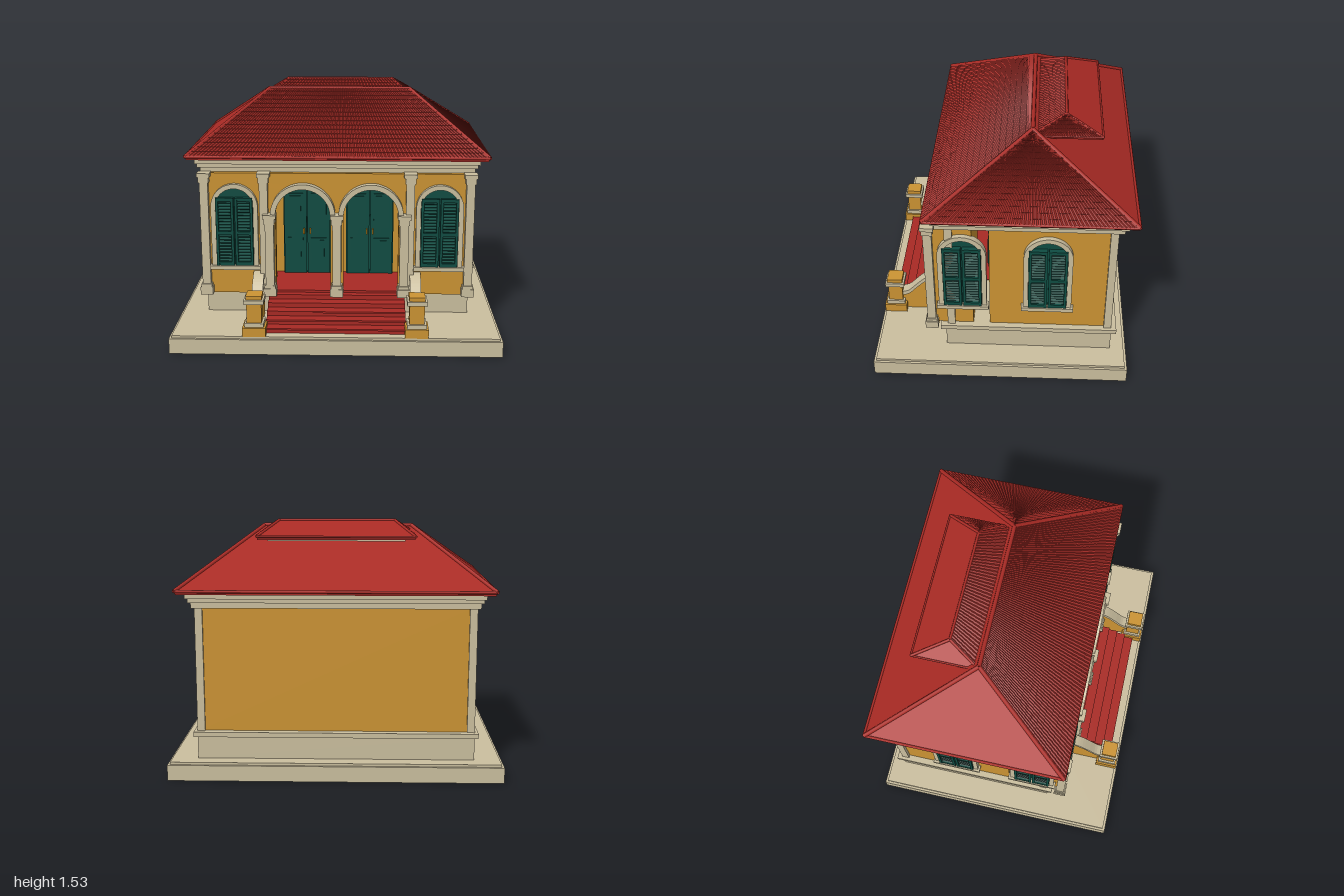
import * as THREE from 'three';
import { ConvexGeometry } from 'three/addons/geometries/ConvexGeometry.js';

const mat = (name, color) => {
  const m = new THREE.MeshStandardMaterial({ color });
  m.name = name;
  return m;
};

export function createModel() {
  const stone = mat('stone', 0xcbbf9f), ochre = mat('ochre', 0xcc9433), red = mat('red tile', 0xa92a24);
  const green = mat('green paint', 0x0f4c42), brass = mat('brass', 0xc48a1c);
  const tileMat = mat('ribbed tile', 0xa12a24);
  tileMat.flatShading = true;
  const root = new THREE.Group();
  root.name = 'villa';

  const add = (parent, name, geo, m) => {
    const mesh = new THREE.Mesh(geo, m);
    mesh.name = name;
    parent.add(mesh);
    return mesh;
  };
  // box from its limits on each axis
  const box = (parent, name, m, x0, x1, y0, y1, z0, z1) => {
    const mesh = add(parent, name, new THREE.BoxGeometry(x1 - x0, y1 - y0, z1 - z0), m);
    mesh.position.set((x0 + x1) / 2, (y0 + y1) / 2, (z0 + z1) / 2);
    return mesh;
  };
  const group = (name) => {
    const g = new THREE.Group();
    g.name = name;
    root.add(g);
    return g;
  };
  // round-headed outline, optionally used as a hole
  const arch = (r, y0, ys, cx = 0, Type = THREE.Shape) => {
    const s = new Type();
    s.moveTo(cx - r, y0);
    s.lineTo(cx + r, y0);
    s.lineTo(cx + r, ys);
    s.absarc(cx, ys, r, 0, Math.PI, false);
    s.lineTo(cx - r, y0);
    return s;
  };
  const extrude = (parent, name, m, shape, z0, z1) => {
    const geo = new THREE.ExtrudeGeometry(shape, { depth: z1 - z0, bevelEnabled: false, curveSegments: 20 });
    const mesh = add(parent, name, geo, m);
    mesh.position.z = z0;
    return mesh;
  };

  // ground slab, foundation and plinth moulding
  box(root, 'groundSlab', stone, -1, 1, 0, 0.095, -0.78, 0.78);
  box(root, 'groundSlabTop', stone, -0.985, 0.985, 0.095, 0.11, -0.765, 0.765);
  box(root, 'foundation', stone, -0.83, 0.83, 0.11, 0.25, -0.68, 0.34);
  box(root, 'plinthMoulding', stone, -0.85, 0.85, 0.25, 0.28, -0.71, 0.37);

  // rear rooms, porch wings and arcaded front wall
  box(root, 'mainBlock', ochre, -0.81, 0.81, 0.28, 1.035, -0.665, 0.07);
  const front = new THREE.Shape();
  front.moveTo(-0.81, 0.26);
  front.lineTo(0.81, 0.26);
  front.lineTo(0.81, 1.035);
  front.lineTo(-0.81, 1.035);
  front.closePath();
  for (const x of [-0.21, 0.21]) front.holes.push(arch(0.17, 0.275, 0.775, x, THREE.Path));
  extrude(root, 'frontWall', ochre, front, 0.385, 0.415);
  for (const s of [-1, 1]) {
    const [a, b] = s < 0 ? [-0.81, -0.4] : [0.4, 0.81];
    box(root, 'porchWing', ochre, a, b, 0.28, 1.035, 0.17, 0.386);
    for (const z of [-0.655, 0.305])
      box(root, 'cornerPilaster', stone, s * 0.807 - 0.023, s * 0.807 + 0.023, 0.28, 1.035, z - 0.023, z + 0.023);
  }
  box(root, 'porchFloor', red, -0.42, 0.42, 0.25, 0.284, 0.06, 0.43);

  // stepped cornice
  [[0.845, 0.545, 1.03, 1.065], [0.86, 0.567, 1.065, 1.09], [0.872, 0.585, 1.09, 1.12]].forEach(([hx, hz, y0, y1]) =>
    box(root, 'cornice', stone, -hx, hx, y0, y1, -0.165 - hz, -0.165 + hz));

  // columns with base and stepped capital
  const column = (name, x, z, h, top) => {
    const g = group(name);
    const part = (n, w, y0, y1) => box(g, n, stone, x - w, x + w, y0, y1, z - w, z + w);
    part('base', h + 0.013, 0.26, 0.31);
    part('baseStep', h + 0.007, 0.31, 0.33);
    part('shaft', h, 0.33, top - 0.06);
    part('neck', h + 0.006, top - 0.06, top - 0.025);
    part('capital', h + 0.014, top - 0.025, top);
  };
  for (const x of [-0.815, -0.45, 0.45, 0.815]) column('tallColumn', x, 0.425, 0.026, 1.04);
  for (const x of [-0.415, 0, 0.415]) column('archColumn', x, 0.447, 0.027, 0.785);
  for (const x of [-0.21, 0.21]) {
    const ring = new THREE.Shape();
    ring.absarc(x, 0.775, 0.2, 0, Math.PI, false);
    ring.absarc(x, 0.775, 0.168, Math.PI, 0, true);
    ring.closePath();
    extrude(root, 'porchArch', stone, ring, 0.41, 0.465);
  }

  // shuttered window, built facing +z with the wall at z = 0
  const shutterWindow = (x, z, turn) => {
    const g = group('shutteredWindow');
    const frame = arch(0.145, 0.45, 0.825);
    frame.holes.push(arch(0.116, 0.45, 0.825, 0, THREE.Path));
    extrude(g, 'windowFrame', stone, frame, -0.01, 0.03);
    extrude(g, 'windowPane', green, arch(0.118, 0.45, 0.825), -0.005, 0.008);
    box(g, 'windowSill', stone, -0.157, 0.157, 0.425, 0.45, -0.01, 0.045);
    for (const s of [-1, 1]) {
      const cx = s * 0.059;
      for (const e of [-1, 1])
        box(g, 'shutterStile', green, cx + e * 0.047 - 0.008, cx + e * 0.047 + 0.008, 0.452, 0.885, 0.008, 0.04);
      for (const y of [0.463, 0.66, 0.874])
        box(g, 'shutterRail', green, cx - 0.04, cx + 0.04, y - 0.011, y + 0.011, 0.008, 0.038);
      for (let i = 0; i < 20; i++) {
        const y = 0.482 + i * 0.0197;
        const slat = box(g, 'shutterSlat', green, cx - 0.04, cx + 0.04, y - 0.003, y + 0.003, 0.008, 0.03);
        slat.rotation.x = 0.5;
      }
    }
    g.position.set(x, 0, z);
    g.rotation.y = turn;
  };
  for (const s of [-1, 1]) {
    shutterWindow(s * 0.632, 0.415, 0);
    for (const z of [0.23, -0.28]) shutterWindow(s * 0.81, z, s * Math.PI / 2);
  }

  // double doors at the back of the porch
  for (const x of [-0.205, 0.205]) {
    const g = group('doubleDoor');
    extrude(g, 'doorSurround', green, arch(0.155, 0.284, 0.775), 0, 0.015);
    for (const s of [-1, 1]) {
      const cx = s * 0.076;
      box(g, 'doorLeaf', green, cx - 0.073, cx + 0.073, 0.286, 0.87, 0.015, 0.03);
      for (const [y0, y1] of [[0.32, 0.53], [0.6, 0.83]]) {
        box(g, 'doorPanel', green, cx - 0.05, cx + 0.05, y0, y1, 0.03, 0.038);
        box(g, 'doorPanelField', green, cx - 0.036, cx + 0.036, y0 + 0.015, y1 - 0.015, 0.038, 0.043);
      }
      box(g, 'doorHandle', brass, s * 0.02 - 0.005, s * 0.02 + 0.005, 0.56, 0.595, 0.03, 0.05);
    }
    box(g, 'doorHead', green, -0.155, 0.155, 0.865, 0.882, 0.01, 0.04);
    g.position.set(x, 0, 0.07);
  }

  // front steps
  for (let i = 0; i < 5; i++) {
    const y = 0.11 + 0.032 * (i + 1), z = 0.715 - 0.06 * i;
    box(root, 'step', red, -0.425, 0.425, 0.11, y - 0.01, 0.3, z - 0.008);
    box(root, 'stepNosing', red, -0.425, 0.425, y - 0.01, y, 0.3, z);
  }

  // curved stair walls with coping, ending in pedestals
  const slope = new THREE.CatmullRomCurve3([[0.66, 0.225], [0.615, 0.24], [0.56, 0.295], [0.5, 0.35], [0.45, 0.375], [0.38, 0.385]]
    .map(([z, y]) => new THREE.Vector3(z, y, 0))).getPoints(16);
  const sideWall = new THREE.Shape([new THREE.Vector2(0.38, 0.11), new THREE.Vector2(0.66, 0.11),
    ...slope.map((p) => new THREE.Vector2(p.x, p.y))]);
  const coping = new THREE.Shape([...slope.map((p) => new THREE.Vector2(p.x, p.y - 0.005)),
    ...slope.slice().reverse().map((p) => new THREE.Vector2(p.x, p.y + 0.024))]);
  for (const s of [-1, 1]) {
    const cx = s * 0.487;
    for (const [name, m, shape, w] of [['stairWall', ochre, sideWall, 0.026], ['stairCoping', stone, coping, 0.034]]) {
      const mesh = extrude(root, name, m, shape, 0, 2 * w);
      mesh.rotation.y = -Math.PI / 2;
      mesh.position.set(cx + w, 0, 0);
    }
    const g = group('pedestal');
    [['pedestalBase', ochre, 0.07, 0.11, 0.165], ['pedestalFoot', stone, 0.058, 0.165, 0.19],
      ['pedestalShaft', ochre, 0.045, 0.19, 0.31], ['pedestalCap', stone, 0.06, 0.31, 0.336],
      ['pedestalTop', ochre, 0.048, 0.336, 0.36]].forEach(([n, m, w, y0, y1]) =>
      box(g, n, m, cx - w, cx + w, y0, y1, 0.7 - w, 0.7 + w));
  }

  // ribbed, stepped roof slope between an eave edge and a ridge edge
  const tiles = (parent, a, b, c, d, ribs, rows) => {
    const n = b.clone().sub(a).cross(c.clone().sub(a)).normalize();
    const pos = [], idx = [], cols = ribs * 2 + 1;
    for (let r = 0; r < rows * 2; r++) {
      const v = (Math.floor(r / 2) + (r % 2)) / rows;
      const left = a.clone().lerp(c, v), right = b.clone().lerp(d, v);
      for (let i = 0; i < cols; i++) {
        const lift = 0.002 + (i % 2) * 0.005 + (r % 2 ? 0 : 0.004);
        pos.push(...left.clone().lerp(right, i / (cols - 1)).addScaledVector(n, lift).toArray());
        if (r && i) {
          const k = r * cols + i;
          idx.push(k - cols - 1, k - cols, k, k - cols - 1, k, k - 1);
        }
      }
    }
    const geo = new THREE.BufferGeometry();
    geo.setAttribute('position', new THREE.Float32BufferAttribute(pos, 3));
    geo.setIndex(idx);
    geo.computeVertexNormals();
    add(parent, 'roofTiles', geo, tileMat);
  };
  const ridgeBar = (parent, p, q, r) => {
    const mesh = add(parent, 'ridgeTiles', new THREE.CylinderGeometry(r, r, p.distanceTo(q), 8), red);
    mesh.position.copy(p).add(q).multiplyScalar(0.5);
    mesh.quaternion.setFromUnitVectors(new THREE.Vector3(0, 1, 0), q.clone().sub(p).normalize());
  };
  // hipped roof; front and +x slopes are tiled
  const hipRoof = (name, hx, zb, zf, y0, y1, rx, rz, ry, bar, ribs, rows) => {
    const g = group(name);
    const V = (x, y, z) => new THREE.Vector3(x, y, z);
    const eave = [V(-hx, y1, zf), V(hx, y1, zf), V(hx, y1, zb), V(-hx, y1, zb)];
    const L = V(-rx, ry, rz), R = V(rx, ry, rz);
    add(g, 'roofBody', new ConvexGeometry([...eave, ...eave.map((p) => V(p.x * 0.99, y0, p.z)), L, R]), red);
    tiles(g, eave[0], eave[1], L, R, ribs, rows);
    tiles(g, eave[1], eave[2], R, R, Math.round(ribs * 0.65), rows);
    ridgeBar(g, L, R, bar);
    eave.forEach((p, i) => {
      ridgeBar(g, p, i === 0 || i === 3 ? L : R, bar);
      ridgeBar(g, p, eave[(i + 1) % 4], bar * 0.7);
    });
  };
  hipRoof('mainRoof', 0.925, -0.78, 0.44, 1.118, 1.138, 0.46, -0.17, 1.478, 0.013, 80, 16);
  hipRoof('upperRoof', 0.468, -0.578, -0.165, 1.418, 1.436, 0.35, -0.365, 1.521, 0.009, 40, 6);
  box(root, 'upperRoofSoffit', stone, -0.41, 0.41, 1.405, 1.42, -0.515, -0.2);
  return root;
}
